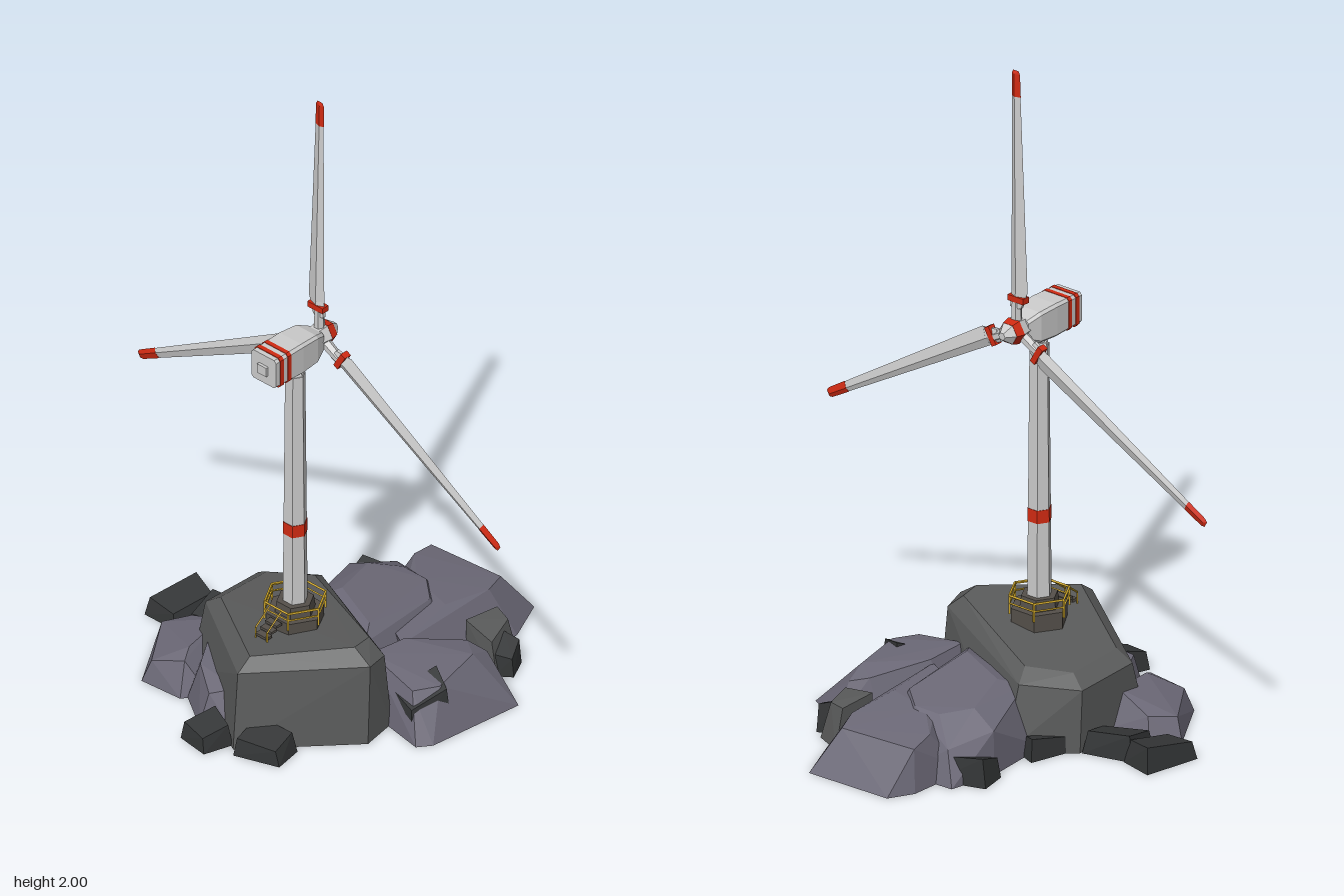
import * as THREE from 'three';
import { ConvexGeometry } from 'three/addons/geometries/ConvexGeometry.js';

const mat = (color) => new THREE.MeshStandardMaterial({ color, flatShading: true });
const WHITE = mat(0xcccccc), RED = mat(0xd02a12), YELLOW = mat(0xc9a227), CONCRETE = mat(0x55504a);
const STONE = mat(0x5a5b5b), SLATE = mat(0x6c6977), DARK = mat(0x343637);

function add(parent, name, geometry, material, x = 0, y = 0, z = 0) {
  const mesh = new THREE.Mesh(geometry, material);
  mesh.name = name;
  mesh.position.set(x, y, z);
  parent.add(mesh);
  return mesh;
}

// Faceted solid around a list of corners
const hull = (points) => new ConvexGeometry(points.map((p) => new THREE.Vector3(...p)));

// Angular boulder: ground outline [x, z] plus upper corners [x, y, z]
function rock(parent, name, material, ground, upper) {
  add(parent, name, hull([...ground.map(([x, z]) => [x, 0, z]), ...upper]), material);
}

// Rough slab: skewed block with a tilted top, turned about y
function slab(parent, [x, z, w, d, h, turn]) {
  const geo = hull([
    [-w / 2, 0, -d / 2], [w / 2, 0, -d * 0.42], [w * 0.45, 0, d / 2], [-w * 0.4, 0, d * 0.45],
    [-w * 0.42, h * 0.7, -d * 0.45], [w * 0.46, h, -d * 0.36], [w * 0.36, h * 0.85, d * 0.42], [-w * 0.38, h * 0.6, d * 0.36],
  ]);
  add(parent, 'darkRock', geo, DARK, x, 0, z).rotation.y = turn;
}

// Thin bar between two points
function bar(parent, name, a, b, radius = 0.004) {
  const p = new THREE.Vector3(...a), q = new THREE.Vector3(...b);
  const mesh = add(parent, name, new THREE.CylinderGeometry(radius, radius, p.distanceTo(q), 4), YELLOW);
  mesh.position.copy(p).add(q).multiplyScalar(0.5);
  mesh.quaternion.setFromUnitVectors(new THREE.Vector3(0, 1, 0), q.sub(p).normalize());
}

function makeRocks() {
  const g = new THREE.Group();
  g.name = 'rocks';
  rock(g, 'mainRock', STONE,
    [[-0.51, 0.05], [-0.23, 0.31], [-0.11, 0.29], [0.13, -0.15], [-0.01, -0.31], [-0.3, -0.31]],
    [[-0.48, 0.24, 0.04], [-0.21, 0.25, 0.3], [-0.13, 0.24, 0.28], [0.08, 0.2, -0.16], [-0.02, 0.19, -0.31], [-0.24, 0.2, -0.31],
      [-0.43, 0.275, 0.04], [-0.21, 0.29, 0.24], [-0.14, 0.285, 0.23], [0.03, 0.235, -0.14], [-0.04, 0.225, -0.26], [-0.23, 0.235, -0.26]]);
  rock(g, 'sideRock', SLATE,
    [[-0.1, 0.16], [0.02, -0.2], [0.26, -0.22], [0.41, -0.19], [0.42, 0], [0.34, 0.14], [0.2, 0.2]],
    [[-0.06, 0.18, 0.14], [0.02, 0.17, -0.13], [0.25, 0.13, -0.21], [0.38, 0.1, -0.15],
      [0.0, 0.2, 0.1], [0.08, 0.195, -0.08], [0.24, 0.175, -0.13], [0.31, 0.16, -0.06], [0.31, 0.16, 0.03], [0.24, 0.165, 0.11]]);
  rock(g, 'outerRock', SLATE,
    [[0.05, 0.23], [0.28, -0.14], [0.5, -0.13], [0.575, -0.09], [0.585, 0.19], [0.45, 0.25]],
    [[0.04, 0.15, 0.19], [0.07, 0.15, 0.13], [0.4, 0.14, -0.1], [0.48, 0.125, -0.11], [0.5, 0.125, 0.14],
      [0.42, 0.135, 0.17], [0.3, 0.155, 0], [0.26, 0.155, 0.15]]);
  rock(g, 'frontRock', SLATE,
    [[-0.15, 0.42], [-0.11, 0.2], [0.05, 0.14], [0.2, 0.25], [0.27, 0.35], [0.2, 0.49], [-0.11, 0.45]],
    [[-0.1, 0.14, 0.36], [-0.08, 0.175, 0.18], [0.05, 0.165, 0.19], [0.2, 0.13, 0.29],
      [0.22, 0.11, 0.35], [0.15, 0.14, 0.36], [-0.03, 0.14, 0.4]]);
  rock(g, 'backRock', SLATE,
    [[-0.44, -0.37], [-0.25, -0.485], [-0.17, -0.43], [-0.14, -0.25], [-0.36, -0.18], [-0.43, -0.23]],
    [[-0.42, 0.07, -0.35], [-0.26, 0.07, -0.46], [-0.19, 0.08, -0.41], [-0.2, 0.13, -0.29], [-0.35, 0.12, -0.27], [-0.39, 0.1, -0.25]]);
  rock(g, 'shoulderRock', SLATE,
    [[-0.49, -0.1], [-0.41, -0.22], [-0.3, -0.28], [-0.3, 0], [-0.46, 0.02]],
    [[-0.46, 0.1, -0.09], [-0.4, 0.13, -0.18], [-0.3, 0.14, -0.24], [-0.42, 0.13, -0.02]]);
  rock(g, 'cornerBlock', STONE,
    [[0.25, 0.36], [0.27, 0.22], [0.42, 0.23], [0.38, 0.32]],
    [[0.26, 0.11, 0.33], [0.27, 0.13, 0.22], [0.39, 0.12, 0.23], [0.37, 0.115, 0.29]]);
  // x, z, width, depth, height, turn
  [[-0.115, -0.515, 0.18, 0.12, 0.08, -0.15], [-0.09, -0.38, 0.12, 0.17, 0.08, 0.3], [0.055, -0.24, 0.14, 0.06, 0.07, -0.25],
    [0.33, -0.18, 0.09, 0.17, 0.09, 0.35], [-0.53, -0.03, 0.11, 0.11, 0.08, -0.25], [-0.46, 0.13, 0.11, 0.15, 0.08, 0.25],
    [-0.06, 0.36, 0.15, 0.11, 0.16, -0.3], [0.31, 0.345, 0.09, 0.06, 0.1, 0.5]].forEach((s) => slab(g, s));
  return g;
}

function makeTower() {
  const g = new THREE.Group();
  g.name = 'tower';
  g.position.x = -0.2;
  const hex = (name, r0, r1, y0, y1, m) =>
    add(g, name, new THREE.CylinderGeometry(r1, r0, y1 - y0, 6), m, 0, (y0 + y1) / 2, 0);
  hex('foundation', 0.085, 0.085, 0.24, 0.305, CONCRETE);
  hex('foundationStep', 0.06, 0.055, 0.305, 0.34, CONCRETE);
  hex('shaft', 0.037, 0.03, 0.3, 1.115, WHITE);
  hex('shaftBand', 0.0365, 0.036, 0.57, 0.61, RED);
  hex('neck', 0.018, 0.018, 1.11, 1.15, WHITE);
  hex('neckCollar', 0.027, 0.024, 1.115, 1.125, WHITE);

  // Hexagonal railing with a post at each corner
  const corner = (i, y) => [0.09 * Math.sin((i * Math.PI) / 3), y, 0.09 * Math.cos((i * Math.PI) / 3)];
  for (let i = 0; i < 6; i++) {
    bar(g, 'railingPost', corner(i, 0.29), corner(i, 0.347));
    bar(g, 'railingTop', corner(i, 0.345), corner(i + 1, 0.345));
    bar(g, 'railingMiddle', corner(i, 0.322), corner(i + 1, 0.322), 0.003);
  }
  // Steps and handrails down the rear side
  for (const z of [-0.022, 0.022]) {
    bar(g, 'stairRail', [-0.08, 0.345, z], [-0.14, 0.3, z], 0.003);
    bar(g, 'stairPost', [-0.14, 0.3, z], [-0.14, 0.265, z], 0.003);
  }
  for (let i = 0; i < 3; i++)
    add(g, 'stairStep', new THREE.BoxGeometry(0.022, 0.008, 0.044), CONCRETE, -0.09 - i * 0.02, 0.3 - i * 0.011, 0);
  return g;
}

function makeNacelle() {
  const g = new THREE.Group();
  g.name = 'nacelle';
  g.position.y = 1.195;
  // Chamfered rectangular section at x, with half width w, top t and bottom b
  const ring = (x, w, t, b, c = 0.008) => [-1, 1].flatMap((s) =>
    [[x, t, s * (w - c)], [x, t - c, s * w], [x, b + c, s * w], [x, b, s * (w - c)]]);
  add(g, 'housing', hull([...ring(-0.33, 0.048, 0.048, -0.047), ...ring(-0.22, 0.05, 0.05, -0.052),
    ...ring(-0.155, 0.046, 0.045, -0.05), ...ring(-0.115, 0.032, 0.028, -0.035)]), WHITE);
  for (const x of [-0.308, -0.277])
    add(g, 'stripe', hull([...ring(x - 0.007, 0.0505, 0.0505, -0.0515), ...ring(x + 0.007, 0.0505, 0.0505, -0.0515)]), RED);
  add(g, 'rearVent', new THREE.BoxGeometry(0.012, 0.03, 0.035), WHITE, -0.333, 0, 0);
  return g;
}

// Four-sided blade section at distance s from the hub
function bladeRing(s, grow = 0) {
  const t = (s - 0.12) / 0.685;
  const lead = 0.019 - 0.003 * t + grow, trail = -0.041 + 0.03 * t - grow, thick = 0.011 - 0.006 * t + grow;
  const mid = lead * 0.6 + trail * 0.4;
  return [[0, s, lead], [thick, s, mid], [0, s, trail], [-thick, s, mid]];
}

function makeRotor() {
  const g = new THREE.Group();
  g.name = 'rotor';
  g.position.set(-0.1, 1.195, 0);
  // Hub, red ring and nose along the x axis
  const drum = (name, r0, r1, x0, x1, m) =>
    (add(g, name, new THREE.CylinderGeometry(r1, r0, x1 - x0, 6), m, (x0 + x1) / 2, 0, 0).rotation.z = -Math.PI / 2);
  drum('hub', 0.034, 0.04, -0.025, 0.012, WHITE);
  drum('hubRing', 0.041, 0.034, 0.012, 0.038, RED);
  drum('nose', 0.033, 0.012, 0.038, 0.065, WHITE);
  for (let i = 0; i < 3; i++) {
    const blade = new THREE.Group();
    blade.name = 'blade';
    blade.rotation.x = (i * Math.PI * 2) / 3;
    add(blade, 'bladeRoot', new THREE.CylinderGeometry(0.014, 0.017, 0.08, 6), WHITE, 0, 0.06, 0);
    const root = [0, 1, 2, 3, 4, 5].map((k) =>
      [0.012 * Math.cos((k * Math.PI) / 3), 0.07, 0.022 * Math.sin((k * Math.PI) / 3)]);
    add(blade, 'bladeShoulder', hull([...root, ...bladeRing(0.12).map(([x, y, z]) => [x, y, z * 0.95])]), WHITE);
    add(blade, 'bladeBand', new THREE.BoxGeometry(0.025, 0.018, 0.058), RED, 0, 0.098, -0.006);
    add(blade, 'bladeBody', hull([...bladeRing(0.12), ...bladeRing(0.73)]), WHITE);
    add(blade, 'bladeTip', hull([...bladeRing(0.725, 0.001), ...bladeRing(0.795, 0.001), [0, 0.805, 0.012], [0, 0.805, -0.007]]), RED);
    g.add(blade);
  }
  return g;
}

export function createModel() {
  const model = new THREE.Group();
  model.name = 'windTurbine';
  model.add(makeRocks(), makeTower(), makeNacelle(), makeRotor());
  return model;
}
